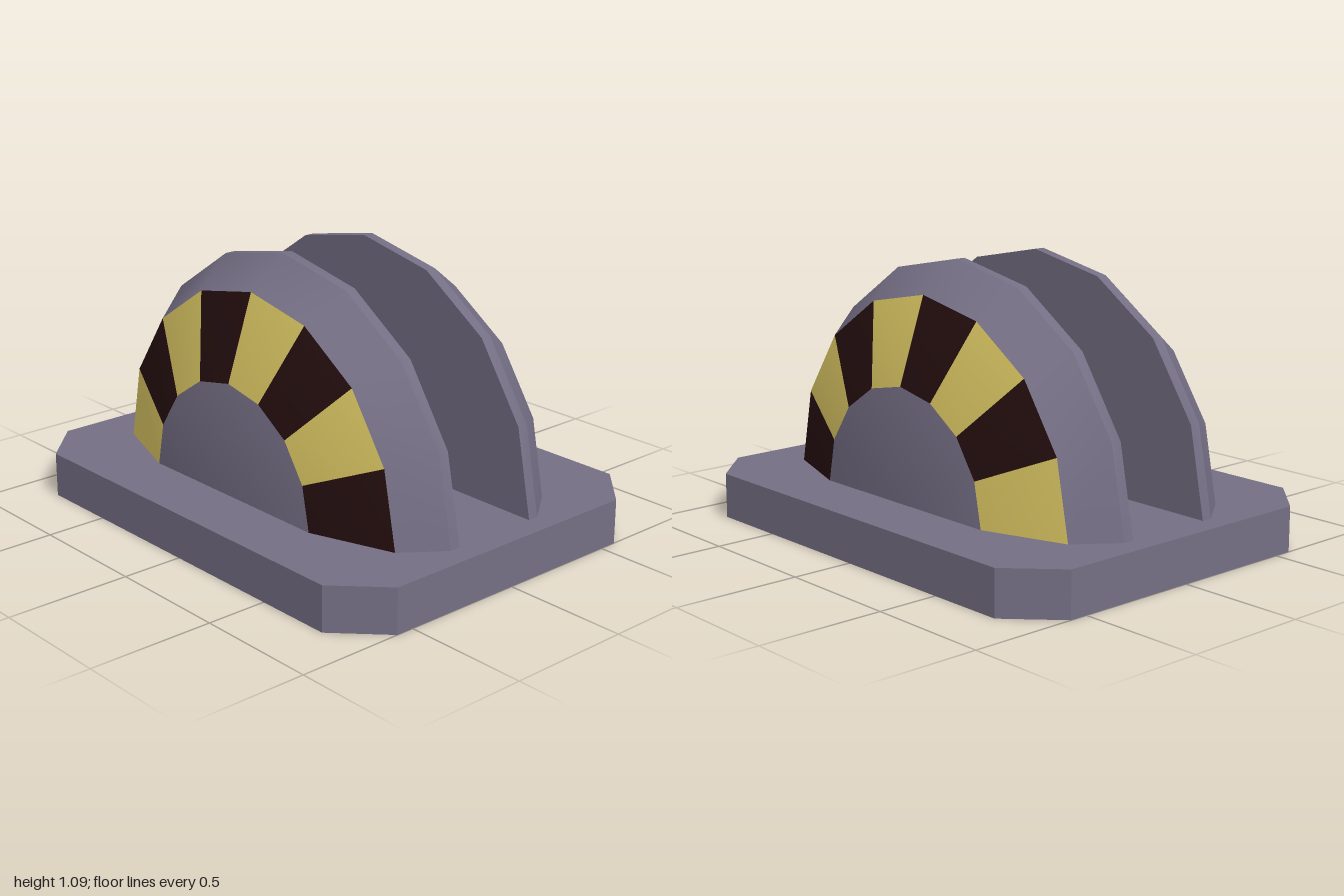
import * as THREE from 'three';
import { toCreasedNormals } from 'three/addons/utils/BufferGeometryUtils.js';

const mat = (name, color) =>
  new THREE.MeshStandardMaterial({ name, color, side: THREE.DoubleSide });

const BASE_H = 0.18;
const SEGMENTS = 8;
// cheek cross-section from inner face to outer cap: [x, radius]
const PROFILE = [[0.183, 0], [0.183, 0.91], [0.227, 0.91], [0.387, 0.79], [0.502, 0.455], [0.502, 0]];
const STRIPE_BAND = 3;

// geometry from a list of triangles, each three Vector3 corners
function fromTriangles(tris) {
  const geo = new THREE.BufferGeometry().setFromPoints(tris.flat());
  geo.computeVertexNormals();
  return geo;
}

// half-dome shell, open underneath, with alternating stripes on one band
function cheekGeometry(side) {
  const point = (j, k) => {
    const [x, r] = PROFILE[j];
    const a = (Math.PI * k) / SEGMENTS;
    return new THREE.Vector3(side * x, BASE_H + r * Math.sin(a), r * Math.cos(a));
  };
  const byColour = [[], [], []];
  for (let j = 0; j < PROFILE.length - 1; j++) {
    for (let k = 0; k < SEGMENTS; k++) {
      const a = point(j, k), b = point(j, k + 1), c = point(j + 1, k + 1), d = point(j + 1, k);
      const tris = [];
      if (PROFILE[j + 1][1] > 0) tris.push([a, d, c]);
      if (PROFILE[j][1] > 0) tris.push([a, c, b]);
      if (side < 0) tris.forEach((t) => t.reverse());
      byColour[j === STRIPE_BAND ? 1 + (k % 2) : 0].push(...tris);
    }
  }
  const geo = fromTriangles(byColour.flat());
  let start = 0;
  byColour.forEach((tris, i) => {
    geo.addGroup(start, tris.length * 3, i);
    start += tris.length * 3;
  });
  return toCreasedNormals(geo, THREE.MathUtils.degToRad(30));
}

export function createModel() {
  const metal = mat('greyMetal', 0x746e84);
  const dark = mat('darkStripe', 0x260f10);
  const yellow = mat('yellowStripe', 0xdcc864);
  const model = new THREE.Group();
  model.name = 'stripedBracket';

  const add = (name, geo, material) => {
    const mesh = new THREE.Mesh(geo, material);
    mesh.name = name;
    model.add(mesh);
  };

  // chamfered base outline, counter-clockwise
  const outline = [
    [0.755, -0.815], [0.755, 0.815], [0.573, 1], [-0.573, 1],
    [-0.755, 0.815], [-0.755, -0.815], [-0.573, -1], [0.573, -1],
  ].map(([x, y]) => new THREE.Vector2(x, y));

  // top plate with an opening beneath each hollow cheek
  const plate = new THREE.Shape(outline);
  for (const side of [1, -1]) {
    const ring = PROFILE.slice(1, -1);
    const hole = [
      ...ring.map(([x, r]) => new THREE.Vector2(side * x, r)),
      ...ring.map(([x, r]) => new THREE.Vector2(side * x, -r)).reverse(),
    ];
    plate.holes.push(new THREE.Path(hole));
  }
  add('baseTop', new THREE.ShapeGeometry(plate).rotateX(-Math.PI / 2).translate(0, BASE_H, 0), metal);

  // side walls, open at the bottom
  const walls = [];
  outline.forEach((p, i) => {
    const q = outline[(i + 1) % outline.length];
    const at = (v, y) => new THREE.Vector3(v.x, y, -v.y);
    walls.push([at(p, 0), at(q, 0), at(q, BASE_H)], [at(p, 0), at(q, BASE_H), at(p, BASE_H)]);
  });
  add('baseWalls', fromTriangles(walls), metal);

  // mirrored pair of cheeks
  add('leftCheek', cheekGeometry(1), [metal, dark, yellow]);
  add('rightCheek', cheekGeometry(-1), [metal, dark, yellow]);

  return model;
}
